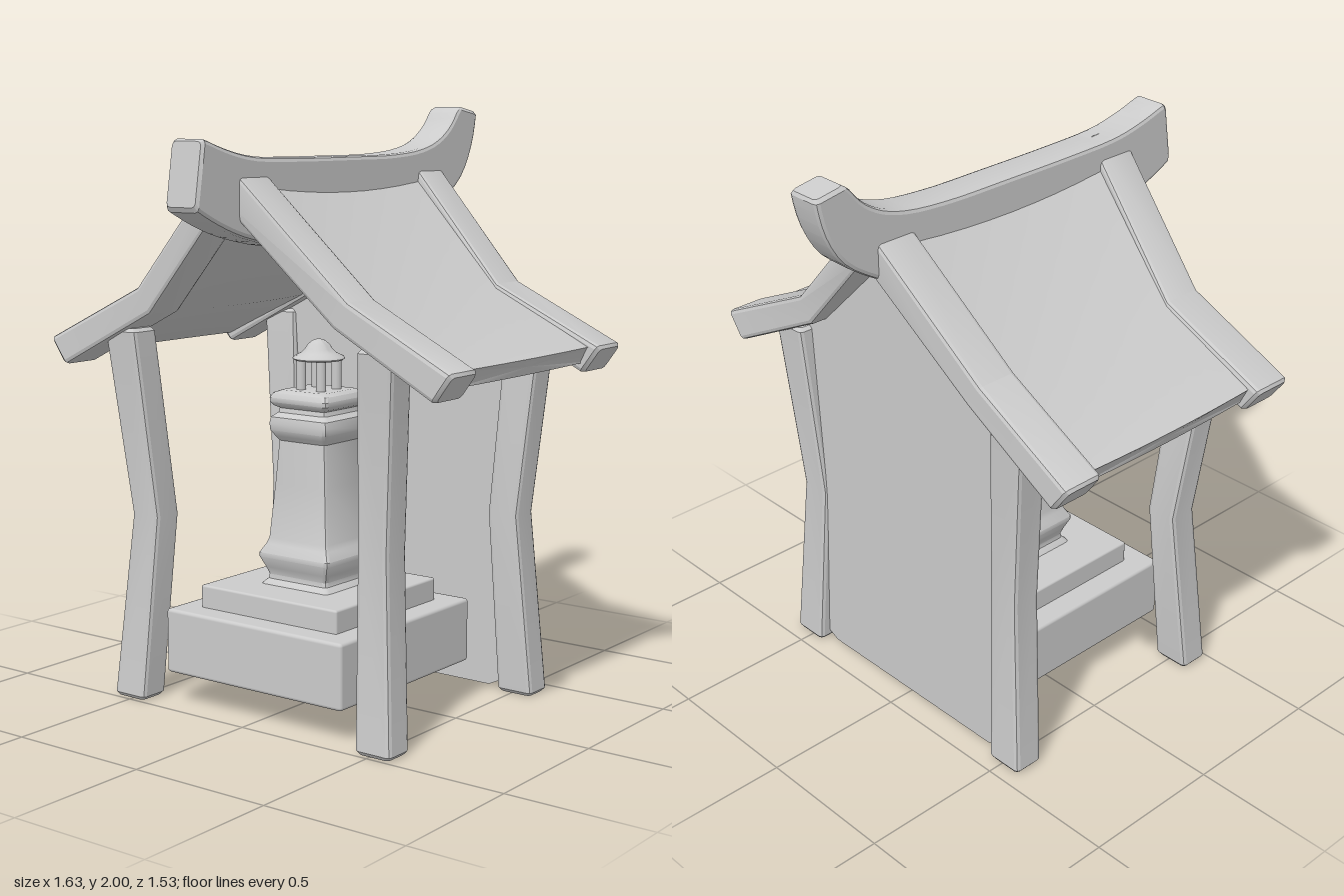
import * as THREE from 'three';
import { toCreasedNormals } from 'three/addons/utils/BufferGeometryUtils.js';
import { RoundedBoxGeometry } from 'three/addons/geometries/RoundedBoxGeometry.js';

const material = new THREE.MeshStandardMaterial({ color: 0xcccccc });
const V = (x, y, z) => new THREE.Vector3(x, y, z);

function addMesh(parent, name, geometry, x = 0, y = 0, z = 0) {
  const mesh = new THREE.Mesh(geometry, material);
  mesh.name = name;
  mesh.position.set(x, y, z);
  parent.add(mesh);
  return mesh;
}

const centreOf = (ring) => ring.reduce((s, p) => s.add(p), V(0, 0, 0)).divideScalar(ring.length);

// Skin a list of equal-sized rings and close both ends
function loft(rings, crease = 0.4) {
  const n = rings[0].length;
  const last = rings.length - 1;
  let tris = [];
  for (let i = 0; i < last; i++) {
    for (let j = 0; j < n; j++) {
      const k = (j + 1) % n;
      const a = rings[i][j], b = rings[i][k], c = rings[i + 1][k], d = rings[i + 1][j];
      tris.push([a, b, c], [a, c, d]);
    }
  }
  const start = centreOf(rings[0]), end = centreOf(rings[last]);
  for (let j = 0; j < n; j++) {
    const k = (j + 1) % n;
    tris.push([start, rings[0][k], rings[0][j]], [end, rings[last][j], rings[last][k]]);
  }
  // Turn faces outward whichever way the rings run
  const volume = tris.reduce((s, [a, b, c]) => s + a.dot(b.clone().cross(c)), 0);
  if (volume < 0) tris = tris.map(([a, b, c]) => [a, c, b]);
  const geometry = new THREE.BufferGeometry().setFromPoints(tris.flat());
  return toCreasedNormals(geometry, crease);
}

// Round the four corners of a quad
function roundQuad(quad, r) {
  const ring = [];
  quad.forEach((p, i) => {
    const prev = quad[(i + 3) % 4], next = quad[(i + 1) % 4];
    const a = p.clone().add(prev.clone().sub(p).setLength(r));
    const b = p.clone().add(next.clone().sub(p).setLength(r));
    const mid = a.clone().add(b).multiplyScalar(0.5).lerp(p, 0.4);
    ring.push(a, mid, b);
  });
  return ring;
}

// Timber beam through a row of quads, with softened edges and ends
function timber(quads, r = 0.015) {
  const rings = quads.map((q) => roundQuad(q, r));
  const softEnd = (ring, neighbour) => {
    const c = centreOf(ring);
    const size = ring[0].distanceTo(c);
    const tip = ring.map((p) => p.clone().lerp(c, (r * 0.8) / size));
    const step = centreOf(neighbour).sub(c).setLength(r * 0.8);
    return [tip, ring.map((p) => p.clone().add(step))];
  };
  const n = rings.length;
  const [tipA, ringA] = softEnd(rings[0], rings[1]);
  const [tipB, ringB] = softEnd(rings[n - 1], rings[n - 2]);
  return loft([tipA, ringA, ...rings.slice(1, -1), ringB, tipB]);
}

const flatQuad = (x0, x1, z0, z1, y) => [V(x0, y, z0), V(x1, y, z0), V(x1, y, z1), V(x0, y, z1)];

function createPosts(group) {
  // y, inner x, outer x, front post z range, back post z range
  const levels = [
    [0, 0.445, 0.58, 0.38, 0.49, -0.45, -0.34],
    [0.63, 0.415, 0.53, 0.33, 0.44, -0.42, -0.31],
    [1.27, 0.455, 0.59, 0.39, 0.5, -0.46, -0.345],
  ];
  for (const [side, s] of [['left', 1], ['right', -1]]) {
    for (const [end, k] of [['Front', 3], ['Back', 5]]) {
      const quads = levels.map((l) => flatQuad(s * l[1], s * l[2], l[k], l[k + 1], l[0]));
      addMesh(group, side + end + 'Post', timber(quads));
    }
  }
}

function createWall(group) {
  const half = [[0.4, 0.01], [0.46, 0.04], [0.46, 0.63], [0.52, 1.25], [0.4, 1.35]];
  const outline = [...half, [0, 1.75], ...half.map(([x, y]) => [-x, y]).reverse()];
  const shape = new THREE.Shape(outline.map(([x, y]) => new THREE.Vector2(x, y)));
  const geometry = new THREE.ExtrudeGeometry(shape, { depth: 0.05, bevelEnabled: false });
  addMesh(group, 'backWall', geometry, 0, 0, -0.41);
}

function createRoof(group) {
  const mirrored = (list) => [
    ...list.map((s) => [s, -1]).reverse(),
    ...list.slice(1).map((s) => [s, 1]),
  ];

  // Gable boards: top x, y, bottom x, y, front z, back z of the outer face
  const board = [
    [0, 1.84, 0, 1.7, 0.58, -0.555],
    [0.43, 1.41, 0.375, 1.325, 0.51, -0.475],
    [0.82, 1.22, 0.755, 1.13, 0.525, -0.49],
  ];
  for (const [name, k, inward] of [['frontGableBoard', 4, -0.15], ['backGableBoard', 5, 0.15]]) {
    const quads = mirrored(board).map(([b, s]) => [
      V(s * b[0], b[1], b[k]), V(s * b[0], b[1], b[k] + inward),
      V(s * b[2], b[3], b[k] + inward), V(s * b[2], b[3], b[k]),
    ]);
    addMesh(group, name, timber(quads));
  }

  // Sagging panel: top x, y, bottom x, y, sag, back z, front z
  const panel = [
    [0, 1.81, 0, 1.73, 0.035, -0.47, 0.5],
    [0.43, 1.398, 0.4, 1.33, 0.012, -0.39, 0.42],
    [0.785, 1.22, 0.758, 1.165, 0, -0.4, 0.43],
  ];
  const steps = 10;
  const rings = mirrored(panel).map(([p, s]) => {
    const edge = (x, y) => Array.from({ length: steps + 1 }, (_, i) => {
      const t = i / steps;
      const bulge = 4 * t * (1 - t);
      const bow = x > 0.7 ? 0.012 * (bulge - 1) : 0;
      return V(s * (x + bow), y - p[4] * bulge, p[5] + (p[6] - p[5]) * t);
    });
    return [...edge(p[0], p[1]), ...edge(p[2], p[3]).reverse()];
  });
  addMesh(group, 'roofPanel', loft(rings));

  // Ridge beam swept along curved top and bottom edges
  const curve = (pts) => new THREE.CatmullRomCurve3(pts.map(([z, y]) => V(0, y, z)), false, 'centripetal');
  const top = curve([[0.735, 1.9], [0.62, 1.865], [0.5, 1.842], [0.3, 1.835], [0, 1.835],
    [-0.25, 1.838], [-0.42, 1.855], [-0.52, 1.885], [-0.59, 1.93], [-0.65, 2]]);
  const bottom = curve([[0.77, 1.68], [0.66, 1.63], [0.54, 1.59], [0.32, 1.55], [0, 1.54],
    [-0.25, 1.555], [-0.42, 1.6], [-0.55, 1.665], [-0.67, 1.75], [-0.735, 1.855], [-0.77, 1.98]]);
  const w = 0.064;
  const ridge = Array.from({ length: 31 }, (_, i) => {
    const a = top.getPoint(i / 30), b = bottom.getPoint(i / 30);
    return [V(-w, a.y, a.z), V(w, a.y, a.z), V(w, b.y, b.z), V(-w, b.y, b.z)];
  });
  addMesh(group, 'ridgeBeam', timber(ridge));
}

function createLantern() {
  const lantern = new THREE.Group();
  lantern.name = 'lantern';
  lantern.position.z = 0.09;
  addMesh(lantern, 'lowerPlinth', new RoundedBoxGeometry(0.735, 0.22, 0.73, 2, 0.012), 0, 0.22, 0);
  addMesh(lantern, 'upperPlinth', new RoundedBoxGeometry(0.57, 0.1, 0.56, 2, 0.008), 0, 0.357, 0);

  // Square moulded pillar: half width, height
  const profile = [[0.145, 0.4], [0.138, 0.412], [0.125, 0.425], [0.123, 0.44], [0.132, 0.465],
    [0.147, 0.5], [0.147, 0.515], [0.13, 0.545], [0.123, 0.565], [0.108, 0.75], [0.098, 0.895],
    [0.108, 0.91], [0.12, 0.93], [0.122, 0.955], [0.118, 0.975], [0.1, 0.99], [0.097, 1.005],
    [0.11, 1.012], [0.12, 1.025], [0.121, 1.04], [0.112, 1.056], [0.09, 1.065]];
  const rings = profile.map(([h, y]) => roundQuad(flatQuad(-h, h, -h, h, y), 0.015));
  addMesh(lantern, 'pillar', loft(rings, 0.6));

  // Small light chamber with four columns
  for (const x of [-0.042, 0.042]) {
    for (const z of [-0.042, 0.042]) {
      addMesh(lantern, 'chamberColumn', new THREE.CylinderGeometry(0.017, 0.017, 0.13, 12), x, 1.115, z);
    }
  }
  const cap = [[0, 1.163], [0.08, 1.163], [0.088, 1.169], [0.083, 1.176], [0.06, 1.187], [0.046, 1.2],
    [0.038, 1.214], [0.022, 1.228], [0, 1.235]].map(([r, y]) => new THREE.Vector2(r, y));
  addMesh(lantern, 'lanternCap', toCreasedNormals(new THREE.LatheGeometry(cap, 32), 0.7));
  return lantern;
}

export function createModel() {
  const model = new THREE.Group();
  model.name = 'shrine';
  createPosts(model);
  createWall(model);
  createRoof(model);
  model.add(createLantern());
  return model;
}
